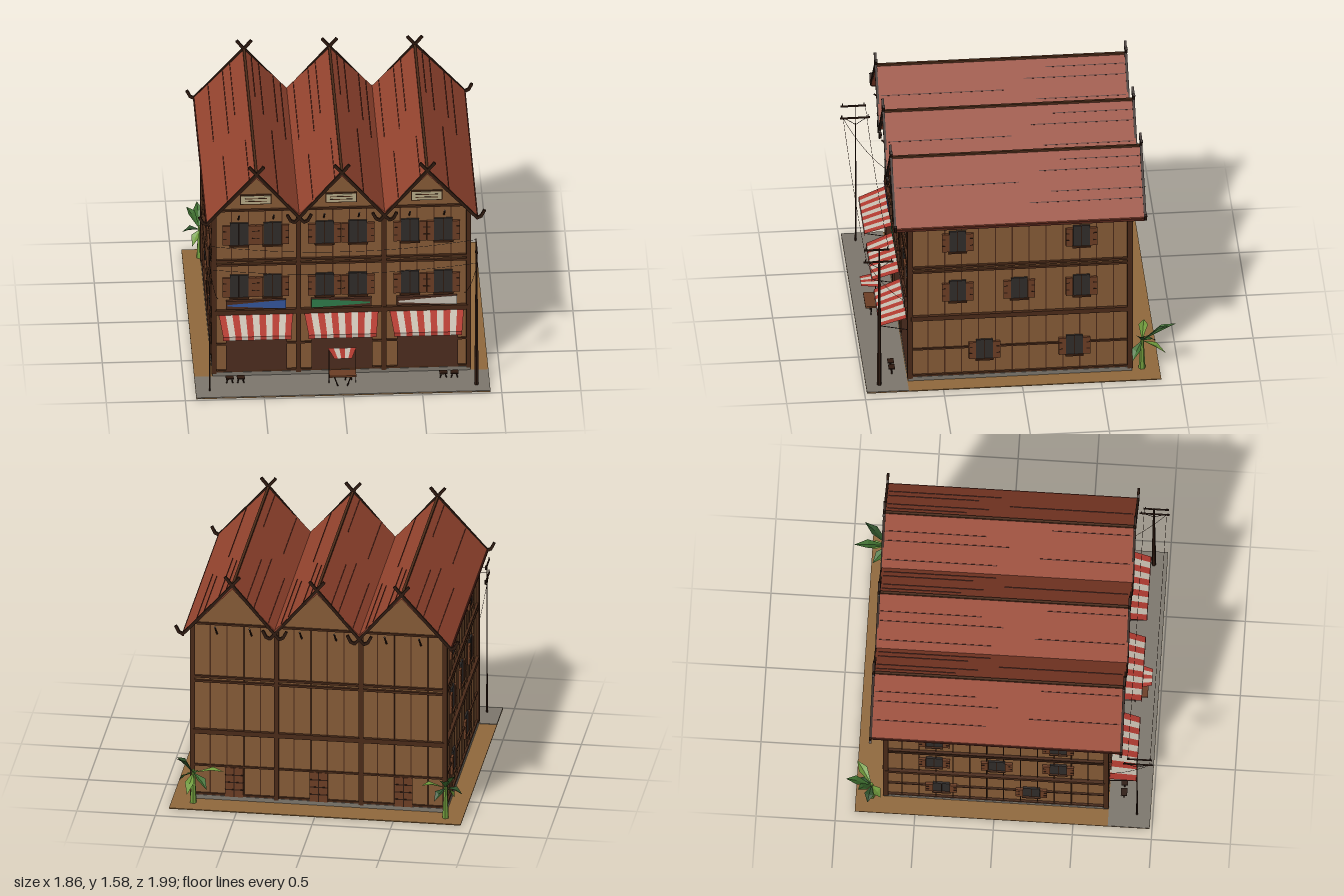
import * as THREE from 'three';

const C = {
  wall: 0x855a36, beam: 0x4a2a18, dark: 0x2e1a10, roof: 0x96452f, seam: 0x55251a, glass: 0x302c2a,
  shutter: 0x6b3d24, shop: 0x4c2c1e, red: 0xb03a30, white: 0xc4bcae, sand: 0x8f683c, stone: 0x7c766c,
  cream: 0xb5a986, leaf: 0x3f7030, leafDark: 0x2c4f28, stem: 0x6f9a3c,
};
const mats = {};
function mat(color) {
  return (mats[color] ??= new THREE.MeshStandardMaterial({ color, flatShading: true, side: THREE.DoubleSide }));
}
function add(parent, name, geo, color) {
  const m = new THREE.Mesh(geo, mat(color));
  m.name = name;
  parent.add(m);
  return m;
}
function box(parent, name, w, h, d, x, y, z, color) {
  const m = add(parent, name, new THREE.BoxGeometry(w, h, d), color);
  m.position.set(x, y, z);
  return m;
}
function group(parent, name) {
  const g = new THREE.Group();
  g.name = name;
  parent.add(g);
  return g;
}
const V = (p) => new THREE.Vector3(...p);
// Straight rod between two points
function rod(parent, name, a, b, r0, r1, color, sides = 6) {
  const A = V(a), B = V(b), d = B.clone().sub(A);
  const m = add(parent, name, new THREE.CylinderGeometry(r1, r0, d.length(), sides), color);
  m.position.copy(A).add(B).multiplyScalar(0.5);
  m.quaternion.setFromUnitVectors(new THREE.Vector3(0, 1, 0), d.normalize());
  return m;
}
// Sagging wire
function wire(parent, a, b, sag) {
  const mid = V(a).add(V(b)).multiplyScalar(0.5);
  mid.y -= sag * 2;
  const curve = new THREE.QuadraticBezierCurve3(V(a), mid, V(b));
  add(parent, 'wire', new THREE.TubeGeometry(curve, 16, 0.0015, 3), C.dark);
}
function surface(points, index) {
  const g = new THREE.BufferGeometry();
  g.setAttribute('position', new THREE.Float32BufferAttribute(points.flat(), 3));
  g.setIndex(index);
  g.computeVertexNormals();
  return g;
}
function extrude(points, z0, z1) {
  const shape = new THREE.Shape(points.map((p) => new THREE.Vector2(...p)));
  return new THREE.ExtrudeGeometry(shape, { depth: z1 - z0, bevelEnabled: false }).translate(0, 0, z0);
}

const BAYS = [-0.54, 0, 0.54];
const zigzag = (end, endY, dy) =>
  [[-end, endY], [-0.54, 1.49], [-0.27, 1.2], [0, 1.49], [0.27, 1.2], [0.54, 1.49], [end, endY]].map(([x, y]) => [x, y + dy]);

// Wall face frame: local x along the wall, z outwards
function face(parent, name, angle, dist) {
  const g = group(parent, name);
  g.rotation.y = angle;
  g.position.set(Math.sin(angle) * dist, 0, Math.cos(angle) * dist);
  return g;
}
function windowUnit(parent, x, y, w, h) {
  const g = group(parent, 'window');
  g.position.set(x, y, 0);
  box(g, 'pane', w, h, 0.016, 0, 0, 0.004, C.glass);
  box(g, 'mullion', 0.006, h, 0.02, 0, 0, 0.004, C.dark);
  box(g, 'sill', w + 0.01, 0.01, 0.03, 0, -h / 2, 0.008, C.beam);
  for (const s of [-1, 1]) {
    box(g, 'shutter', 0.046, h * 0.84, 0.016, s * (w / 2 + 0.024), -0.004, 0.01, C.shutter);
    for (const k of [-1, 1]) box(g, 'hinge', 0.02, 0.006, 0.02, s * (w / 2 + 0.034), k * h * 0.16, 0.01, C.dark);
  }
}
function timberFrame(g, half, top) {
  for (const [y, h, d] of [[0.04, 0.012, 0.02], [0.235, 0.012, 0.014], [0.47, 0.032, 0.036], [0.815, 0.014, 0.026], [0.845, 0.014, 0.026]])
    box(g, 'beam', half * 2, h, d, 0, y, 0.004, C.beam);
  const n = Math.round((half * 2) / 0.108);
  for (let i = 1; i < n; i++)
    box(g, 'batten', 0.007, top - 0.03, 0.01, -half + (i * 2 * half) / n, (top + 0.03) / 2, 0.001, C.beam);
}

function awning(parent, x) {
  const g = group(parent, 'awning');
  g.position.x = x;
  const n = 11;
  const at = (t, half) => (t * 2 - 1) * half;
  for (let i = 0; i < n; i++) {
    const a = i / n, b = (i + 1) / n;
    const pts = [];
    for (const [half, y, z] of [[0.235, 0.455, 0.71], [0.215, 0.39, 0.888], [0.215, 0.365, 0.89]])
      pts.push([at(a, half), y, z], [at(b, half), y, z]);
    add(g, 'stripe', surface(pts, [0, 2, 3, 0, 3, 1, 2, 4, 5, 2, 5, 3]), i % 2 ? C.white : C.red);
  }
  for (const s of [-1, 1]) rod(g, 'strut', [s * 0.21, 0.35, 0.71], [s * 0.21, 0.388, 0.885], 0.003, 0.003, C.dark, 4);
}

function plant(parent, x, z, leaves) {
  const g = group(parent, 'plant');
  g.position.set(x, 0, z);
  rod(g, 'stem', [0, 0, 0], [0, 0.23, 0], 0.022, 0.01, C.stem);
  leaves.forEach(([dx, tipY, dz], i) => {
    const base = V([0, 0.21, 0]), tip = V([dx, tipY, dz]);
    const side = new THREE.Vector3(-dz, 0, dx).normalize().multiplyScalar(0.03);
    const mid = base.clone().lerp(tip, 0.6).add(V([0, 0.025, 0]));
    const pts = [base, mid.clone().add(side), tip, mid.clone().sub(side), mid.clone().add(V([0, -0.012, 0]))].map((p) => p.toArray());
    add(g, 'leaf', surface(pts, [0, 1, 4, 1, 2, 4, 0, 4, 3, 4, 2, 3]), [C.leaf, C.leafDark, C.stem][i % 3]);
  });
}

function pole(parent, x, r) {
  const g = group(parent, 'utilityPole');
  rod(g, 'post', [x, 0, 0.9], [x, 1.03, 0.9], r, r * 0.35, C.dark);
  for (const [y, a, b] of [[0.93, 0.81, 1], [1.02, 0.835, 0.995]]) {
    box(g, 'crossArm', 0.008, 0.01, b - a, x, y, (a + b) / 2, C.dark);
    for (const z of [a + 0.012, b - 0.012]) box(g, 'insulator', 0.007, 0.025, 0.007, x, y + 0.008, z, C.dark);
  }
  for (const z of [0.83, 0.97]) rod(g, 'brace', [x, 0.88, 0.9], [x, 0.93, z], 0.002, 0.002, C.dark, 4);
  wire(g, [x, 0.93, 0.98], [Math.sign(x) * 0.78, 0.57, 0.71], 0.04);
}

export function createModel() {
  const root = new THREE.Group();
  root.name = 'shophouseRow';

  // Ground and plinth
  box(root, 'ground', 1.86, 0.006, 1.865, 0, 0.003, 0.0525, C.sand);
  box(root, 'pavement', 1.858, 0.006, 0.265, 0, 0.007, 0.852, C.stone);
  box(root, 'plinth', 1.63, 0.03, 1.42, 0, 0.018, 0.005, C.stone);

  // Walls with three gables, and the folded roof
  add(root, 'walls', extrude([[0.8, 0.02], ...zigzag(0.8, 1.205, 0).reverse(), [-0.8, 0.02]], -0.69, 0.7), C.wall);
  add(root, 'roof', extrude([...zigzag(0.855, 1.152, 0.003), ...zigzag(0.855, 1.152, 0.026).reverse()], -0.785, 0.8), C.roof);

  // Roof trim: ridges, eaves, seams, crossed bargeboards
  const slope = Math.atan2(0.29, 0.27);
  for (const bx of BAYS) {
    box(root, 'ridge', 0.016, 0.014, 1.59, bx, 1.515, 0.007, C.beam);
    for (const s of [-1, 1]) {
      const outer = bx * s > 0.1;
      for (let i = 0; i < 5; i++) {
        const t = 0.045 + i * 0.046, front = (i + (s > 0 ? 1 : 0)) % 3 === 0;
        const len = 0.5 + 0.07 * ((i * 2) % 5);
        const m = box(root, 'roofSeam', 0.005, 0.005, len, bx + s * t, 1.517 - t * 1.074, front ? 0.78 - len / 2 : -0.77 + len / 2, C.seam);
        m.rotation.z = -s * slope;
      }
      const e = outer ? 0.315 : 0.3;
      const path = [[-0.045, 1.575], [0, 1.52], [e - 0.02, 1.19], [e, 1.168], [e + 0.025, 1.18], [e + 0.045, 1.22]];
      for (const z of [0.8, -0.785]) {
        for (let i = 1; i < path.length; i++) {
          const [x0, y0] = path[i - 1], [x1, y1] = path[i];
          const m = box(root, 'bargeboard', Math.hypot(x1 - x0, y1 - y0) + 0.006, 0.018, 0.016,
            bx + (s * (x0 + x1)) / 2, (y0 + y1) / 2, z, C.dark);
          m.rotation.z = Math.atan2(y1 - y0, s * (x1 - x0));
        }
        // Rafter brackets under the gable
        const w = z > 0 ? 0.7 : -0.69;
        rod(root, 'bracket', [bx + s * 0.11, 1.14, w], [bx + s * 0.11, 1.225, z], 0.006, 0.006, C.dark, 4);
      }
    }
  }
  for (const s of [-1, 1]) box(root, 'eaveBoard', 0.012, 0.016, 1.585, s * 0.855, 1.162, 0.007, C.seam);

  // Posts
  for (const x of [-0.805, -0.27, 0.27, 0.805])
    for (const z of [-0.692, 0.702]) box(root, 'post', 0.03, 1.18, 0.034, x, 0.615, z, C.beam);

  // Front facade
  const front = face(root, 'front', 0, 0.7);
  timberFrame(front, 0.8, 1.21);
  box(front, 'beam', 1.62, 0.012, 0.03, 0, 1.21, 0, C.beam);
  BAYS.forEach((x, i) => {
    for (const y of [1.035, 0.655]) for (const s of [-1, 1]) windowUnit(front, x + s * 0.105, y, 0.115, 0.165);
    box(front, 'shopOpening', 0.385, 0.4, 0.02, x + 0.005, 0.235, 0.004, C.shop);
    // Blank attic vent panel
    box(front, 'ventFrame', 0.2, 0.068, 0.014, x, 1.287, 0.004, C.beam);
    box(front, 'ventPanel', 0.186, 0.056, 0.018, x, 1.287, 0.005, C.cream);
    for (const k of [-1, 1]) box(front, 'ventSlat', 0.14, 0.005, 0.022, x, 1.287 + k * 0.01, 0.005, C.beam);
    // Wedge-shaped blank sign on its board
    box(front, 'signBoard', 0.38, 0.06, 0.02, x, 0.53, 0.02, C.shop);
    const d = i === 1 ? -1 : 1;
    add(front, 'signWedge', surface([[x + d * 0.19, 0.5, 0.034], [x + d * 0.19, 0.565, 0.034], [x - d * 0.18, 0.535, 0.034], [x - d * 0.18, 0.525, 0.034]],
      [0, 1, 2, 0, 2, 3]), [0x34559a, 0x2f7a4a, 0xc8c0b4][i]);
    awning(root, x);
  });

  // Side walls
  for (const s of [-1, 1]) {
    const g = face(root, s > 0 ? 'leftSide' : 'rightSide', (s * Math.PI) / 2, 0.8);
    timberFrame(g, 0.695, 1.16);
    for (const [y, zs] of [[1.03, [0.4, -0.385]], [0.66, [0.4, 0.01, -0.385]], [0.215, [0.23, -0.34]]])
      for (const z of zs) windowUnit(g, -s * z, y, 0.105, y > 0.5 ? 0.155 : 0.145);
  }

  // Back wall with doors
  const back = face(root, 'back', Math.PI, 0.69);
  timberFrame(back, 0.8, 1.2);
  box(back, 'beam', 1.62, 0.012, 0.03, 0, 1.21, 0, C.beam);
  for (const x of BAYS) {
    box(back, 'door', 0.115, 0.2, 0.02, x, 0.13, 0.006, C.shutter);
    for (const y of [0.08, 0.13, 0.18]) box(back, 'doorRail', 0.115, 0.007, 0.024, x, y, 0.006, C.dark);
    box(back, 'doorStile', 0.007, 0.2, 0.024, x, 0.13, 0.006, C.dark);
  }

  // Street stall with a small striped canopy
  const stall = group(root, 'stall');
  for (let i = 0; i < 5; i++) {
    const a = i / 5 - 0.5, b = (i + 1) / 5 - 0.5;
    add(stall, 'canopyStripe', surface([[a * 0.18, 0.252, 0.82], [b * 0.18, 0.252, 0.82], [a * 0.11, 0.246, 0.945], [b * 0.11, 0.246, 0.945]],
      [0, 2, 3, 0, 3, 1]), i % 2 ? C.white : C.red);
  }
  for (const s of [-1, 1]) rod(stall, 'canopyPole', [s * 0.085, 0.01, 0.84], [s * 0.085, 0.25, 0.84], 0.003, 0.003, C.dark, 4);
  box(stall, 'counter', 0.17, 0.012, 0.08, 0, 0.1, 0.88, C.shutter);
  for (const s of [-1, 1]) rod(stall, 'counterLeg', [s * 0.03, 0.01, 0.88], [s * 0.06, 0.1, 0.88], 0.004, 0.004, C.dark, 4);

  // Low stools and pots by the shop fronts
  for (const x of [-0.71, -0.64, 0.04, 0.64, 0.71]) {
    const y = Math.abs(x) > 0.1 ? 0.05 : 0.07;
    box(root, 'stoolSeat', 0.05, 0.008, 0.04, x, y, 0.81, C.dark);
    for (const s of [-1, 1]) rod(root, 'stoolLeg', [x + s * 0.02, 0.01, 0.81], [x + s * 0.01, y, 0.81], 0.004, 0.004, C.dark, 4);
  }

  // Poles and street wires
  pole(root, -0.84, 0.006);
  pole(root, 0.845, 0.015);
  wire(root, [-0.84, 1.03, 0.84], [0.845, 1.03, 0.84], 0.065);
  wire(root, [-0.84, 0.94, 0.98], [0.845, 0.94, 0.98], 0.055);

  // Plants behind the house
  plant(root, -0.82, -0.78, [[-0.01, 0.32, -0.16], [-0.11, 0.18, -0.02], [0.14, 0.26, -0.1], [-0.08, 0.33, -0.08], [0.06, 0.15, -0.09], [-0.05, 0.12, 0.06]]);
  plant(root, 0.79, -0.77, [[-0.04, 0.3, -0.22], [0.09, 0.37, -0.16], [-0.2, 0.24, -0.03], [0.1, 0.12, 0.07], [0.11, 0.3, 0.02], [0.02, 0.12, -0.15], [-0.1, 0.14, -0.1]]);
  return root;
}
